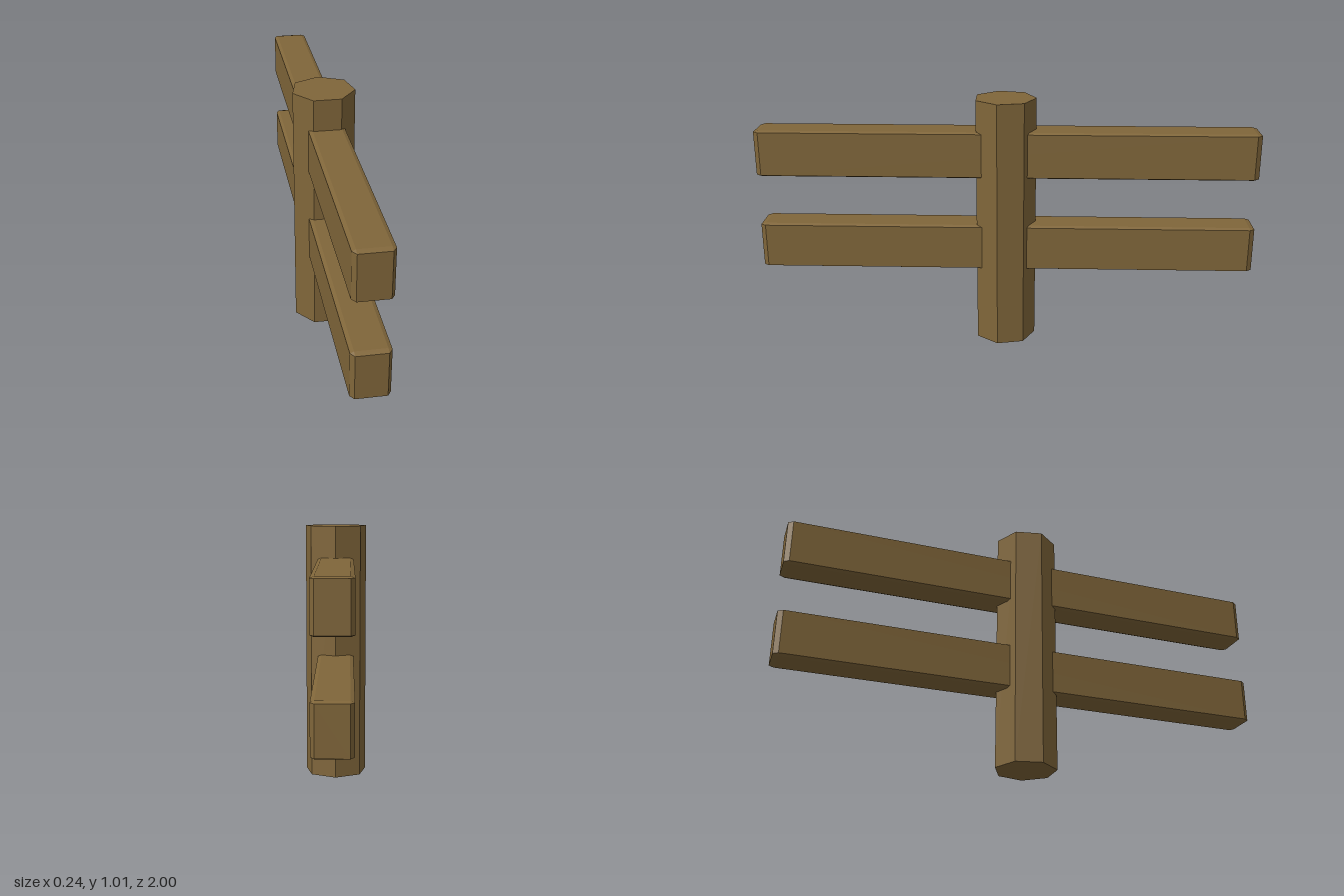
import * as THREE from 'three';
import { ConvexGeometry } from 'three/addons/geometries/ConvexGeometry.js';

const wood = new THREE.MeshStandardMaterial({ color: 0x80663a, flatShading: true });

// Box with chamfered edges; h = half sizes, b = chamfer along each axis
function chamferedBox(h, b) {
  const points = [];
  for (let face = 0; face < 3; face++)
    for (const sx of [-1, 1]) for (const sy of [-1, 1]) for (const sz of [-1, 1]) {
      const p = [sx, sy, sz].map((s, i) => s * (i === face ? h[i] : h[i] - b[i]));
      points.push(new THREE.Vector3(...p));
    }
  return new ConvexGeometry(points);
}

export function createModel() {
  const group = new THREE.Group();
  group.name = 'fence';

  // Seven-sided post, one edge at the back and a flat face in front
  const height = 1.015;
  const post = new THREE.Mesh(new THREE.CylinderGeometry(0.125, 0.125, height, 7), wood);
  post.name = 'post';
  post.rotation.y = Math.PI;
  post.position.set(0, height / 2, 0.006);
  group.add(post);

  // Two rails running through the post
  const railGeometry = chamferedBox([0.071, 0.094, 1], [0.014, 0.006, 0.02]);
  for (const [name, y] of [['lowerRail', 0.407], ['upperRail', 0.795]]) {
    const rail = new THREE.Mesh(railGeometry, wood);
    rail.name = name;
    rail.position.y = y;
    group.add(rail);
  }
  return group;
}
